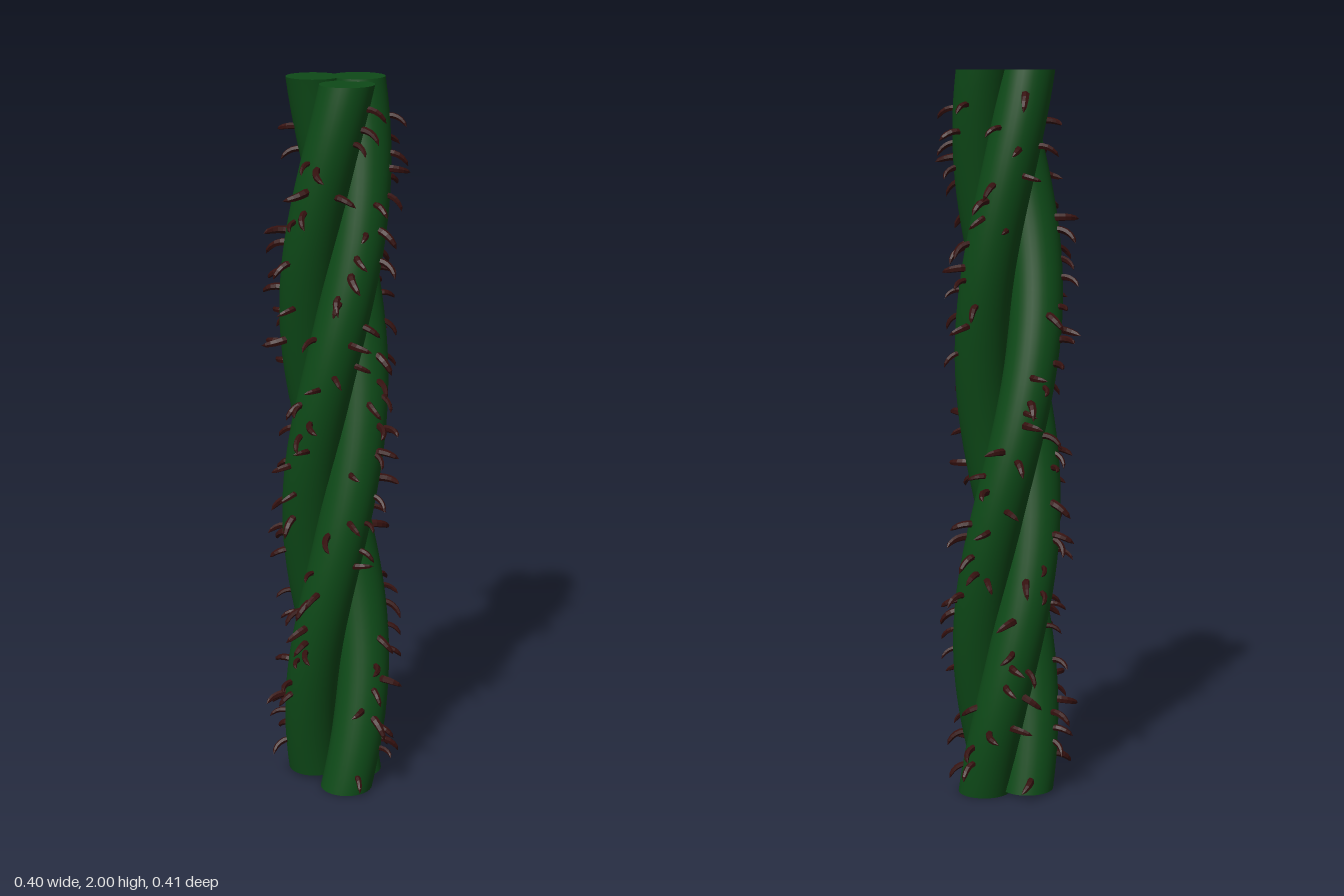
import * as THREE from 'three';

const TUBE = 0.073;                       // strand radius
const TWIST = Math.PI;                    // radians per unit of height: one full turn
const STRANDS = [                         // angle at the top (degrees), offset from axis, bottom, top
  [200, 0.071, 0.01, 2],
  [309, 0.075, 0, 2],
  [53.5, 0.079, 0, 1.994],
];

// small seeded generator
let seed = 7;
const rand = () => {
  seed = (seed * 16807) % 2147483647;
  return seed / 2147483647;
};
const range = (a, b) => a + (b - a) * rand();

const strandAngle = ([deg], y) => THREE.MathUtils.degToRad(deg) + (2 - y) * TWIST;

// A cylinder whose level rings follow a helix
function strandGeometry(strand) {
  const [, offset, y0, y1] = strand;
  const g = new THREE.CylinderGeometry(TUBE, TUBE, y1 - y0, 32, 48);
  g.translate(0, (y0 + y1) / 2, 0);
  const p = g.attributes.position, n = g.attributes.normal;
  const v = new THREE.Vector3();
  for (let i = 0; i < p.count; i++) {
    const y = p.getY(i), a = strandAngle(strand, y);
    p.setXYZ(i, p.getX(i) + offset * Math.cos(a), y, p.getZ(i) + offset * Math.sin(a));
    // tilt side normals to match the lean of the strand
    if (Math.abs(n.getY(i)) < 0.5) {
      const dx = offset * TWIST * Math.sin(a), dz = -offset * TWIST * Math.cos(a);
      v.set(n.getX(i), -(n.getX(i) * dx + n.getZ(i) * dz), n.getZ(i)).normalize();
      n.setXYZ(i, v.x, v.y, v.z);
    }
  }
  return g;
}

// A hooked thorn: grows along +z from the origin and curls towards -y
function thornGeometry() {
  const length = 0.075, bend = 1.3, R = length / bend;
  const g = new THREE.CylinderGeometry(0, 1, length, 6, 5, true);
  g.translate(0, length / 2, 0);
  const p = g.attributes.position;
  for (let i = 0; i < p.count; i++) {
    const t = THREE.MathUtils.clamp(p.getY(i) / length, 0, 1), a = t * bend;
    // full belly, sharp tip
    const width = 0.011 * Math.sqrt(1 - t) * (1 + 0.5 * t) / Math.max(1 - t, 1e-3);
    const side = p.getX(i) * width;
    const up = p.getZ(i) * width * 0.85;
    p.setXYZ(i, side, -R * (1 - Math.cos(a)) + up * Math.cos(a), R * Math.sin(a) + up * Math.sin(a));
  }
  g.computeVertexNormals();
  return g;
}

export function createModel() {
  const model = new THREE.Group();
  model.name = 'thornyVine';
  const green = new THREE.MeshStandardMaterial({ color: 0x0e4a18 });
  const brown = new THREE.MeshStandardMaterial({ color: 0x35110f, flatShading: true, side: THREE.DoubleSide });

  // Three intertwined stems
  STRANDS.forEach((strand, i) => {
    const stem = new THREE.Mesh(strandGeometry(strand), green);
    stem.name = 'stem' + (i + 1);
    model.add(stem);
  });

  // Thorns scattered over the outer faces of the stems
  const thorns = new THREE.Group();
  thorns.name = 'thorns';
  const shape = thornGeometry();
  const perStem = 52;
  for (const strand of STRANDS) {
    for (let i = 0; i < perStem; i++) {
      const y = 0.05 + 1.89 * (i + rand()) / perStem;
      const a = strandAngle(strand, y);
      const out = a + range(-1.15, 1.15);
      const thorn = new THREE.Mesh(shape, brown);
      thorn.name = 'thorn';
      const r = TUBE - 0.006;
      thorn.position.set(
        strand[1] * Math.cos(a) + r * Math.cos(out), y,
        strand[1] * Math.sin(a) + r * Math.sin(out));
      thorn.rotation.order = 'YXZ';
      thorn.rotation.set(range(-0.25, 0.25), Math.PI / 2 - out, range(-1.4, 1.4));
      thorn.scale.setScalar(range(0.75, 1.05));
      thorns.add(thorn);
    }
  }
  model.add(thorns);
  return model;
}
